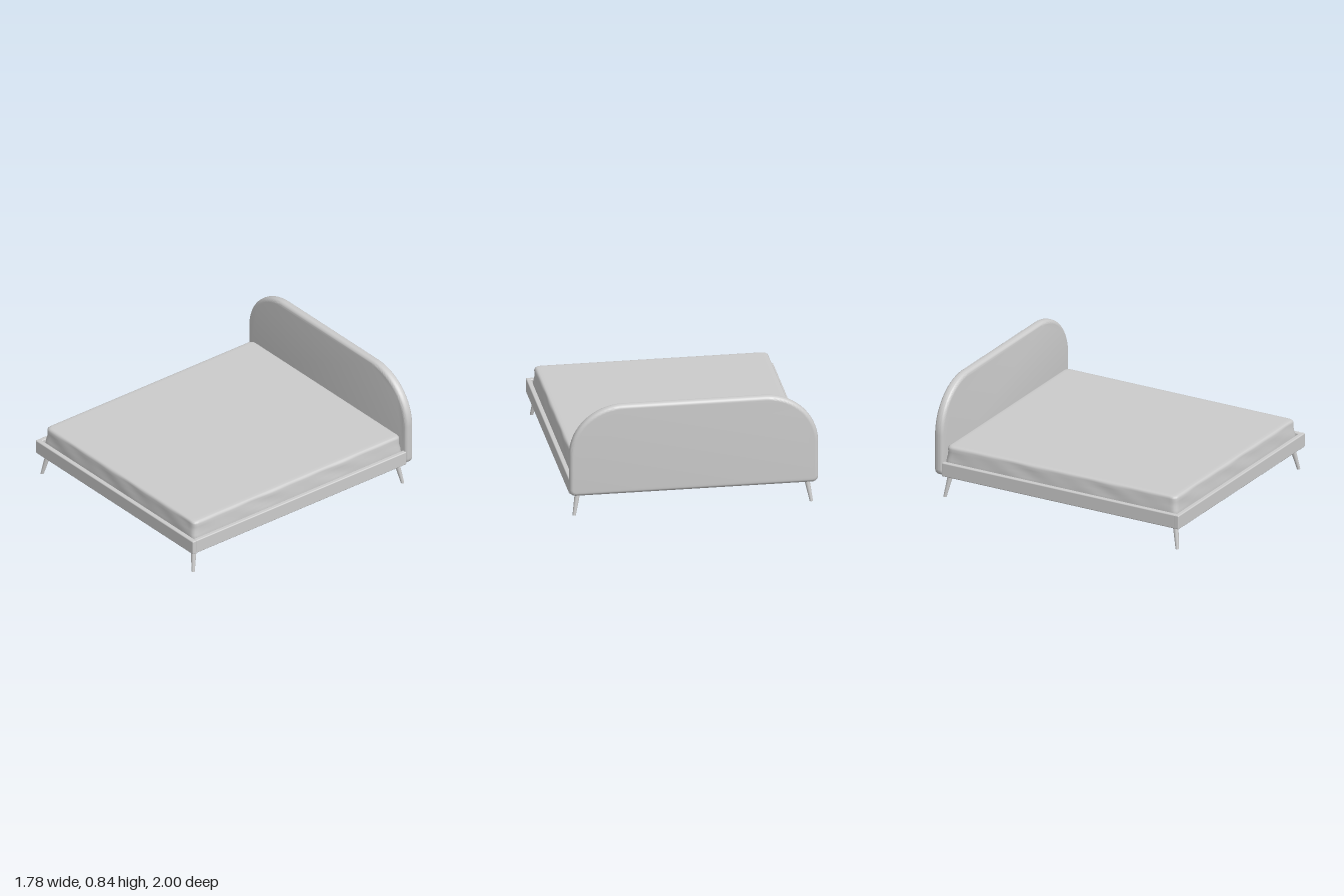
import * as THREE from 'three';
import { toCreasedNormals } from 'three/addons/utils/BufferGeometryUtils.js';
import { RoundedBoxGeometry } from 'three/addons/geometries/RoundedBoxGeometry.js';

const material = new THREE.MeshStandardMaterial({ color: 0xcccccc });

// Box given by its limits on each axis, with softly rounded edges
function block(name, [x0, x1], [y0, y1], [z0, z1], r = 0.006) {
  const geo = new RoundedBoxGeometry(x1 - x0, y1 - y0, z1 - z0, 3, r);
  const mesh = new THREE.Mesh(geo, material);
  mesh.name = name;
  mesh.position.set((x0 + x1) / 2, (y0 + y1) / 2, (z0 + z1) / 2);
  return mesh;
}

// Tapered leg, sheared outwards so both ends stay level
function leg(name, [topX, topZ], [footX, footZ], height) {
  const geo = new THREE.CylinderGeometry(0.021, 0.012, height, 24, 4);
  const pos = geo.attributes.position;
  for (let i = 0; i < pos.count; i++) {
    const t = pos.getY(i) / height + 0.5;
    pos.setX(i, pos.getX(i) + footX + (topX - footX) * t);
    pos.setZ(i, pos.getZ(i) + footZ + (topZ - footZ) * t);
  }
  geo.translate(0, height / 2, 0);
  geo.computeVertexNormals();
  const mesh = new THREE.Mesh(geo, material);
  mesh.name = name;
  return mesh;
}

// Arched headboard with a padded, rounded rim
function headboard() {
  const b = 0.028, w = 0.89 - b, y0 = 0.165 + b, y1 = 0.84 - b;
  const rx = 0.36, ry = 0.34, c = 0.02;
  const s = new THREE.Shape();
  s.moveTo(-w + c, y0);
  s.lineTo(w - c, y0);
  s.quadraticCurveTo(w, y0, w, y0 + c);
  s.lineTo(w, y1 - ry);
  s.absellipse(w - rx, y1 - ry, rx, ry, 0, Math.PI / 2, false);
  s.lineTo(-w + rx, y1);
  s.absellipse(-w + rx, y1 - ry, rx, ry, Math.PI / 2, Math.PI, false);
  s.lineTo(-w, y0 + c);
  s.quadraticCurveTo(-w, y0, -w + c, y0);
  const geo = new THREE.ExtrudeGeometry(s, {
    depth: 0.07 - 2 * b, bevelEnabled: true, bevelSize: b, bevelThickness: b,
    bevelSegments: 6, curveSegments: 28,
  });
  geo.translate(0, 0, -1 + b);
  const mesh = new THREE.Mesh(toCreasedNormals(geo, 0.6), material);
  mesh.name = 'headboard';
  return mesh;
}

// Mattress lofted from rounded rectangles, with faint creases in its sides
function mattress() {
  const hw = 0.842, hd = 0.945, r = 0.035;
  const s = new THREE.Shape();
  s.moveTo(-hw + r, -hd);
  s.lineTo(hw - r, -hd);
  s.absarc(hw - r, -hd + r, r, -Math.PI / 2, 0, false);
  s.lineTo(hw, hd - r);
  s.absarc(hw - r, hd - r, r, 0, Math.PI / 2, false);
  s.lineTo(-hw + r, hd);
  s.absarc(-hw + r, hd - r, r, Math.PI / 2, Math.PI, false);
  s.lineTo(-hw, -hd + r);
  s.absarc(-hw + r, -hd + r, r, Math.PI, Math.PI * 1.5, false);
  const ring = s.getSpacedPoints(400).slice(0, 400), n = ring.length;

  // Height and inset of each ring, from the hidden underside to the top centre
  const profile = [[0.212, 0.8], [0.212, 0], [0.25, -0.002], [0.28, 0], [0.31, 0.003], [0.34, 0.005],
    [0.362, 0.006], [0.373, 0.009], [0.38, 0.016], [0.383, 0.026], [0.384, 0.05], [0.384, 0.3], [0.384, hw]];
  const verts = [], index = [];
  profile.forEach(([y, inset], j) => {
    ring.forEach((p, i) => {
      const side = y > 0.22 && y < 0.37 ? 1 : 0;
      const a = (i / n) * Math.PI * 2;
      const crease = side * 0.003 * Math.sin(a * 17 + y * 45) * Math.sin(a * 5 + 1);
      const kx = 1 - (inset + crease) / hw;
      const kz = inset > 0.1 ? kx : 1 - (inset + crease) / hd;
      verts.push(p.x * kx, y, -p.y * kz + 0.01);
      if (j === profile.length - 1) return;
      const i2 = (i + 1) % n, lo = j * n, hi = lo + n;
      index.push(lo + i, lo + i2, hi + i2, lo + i, hi + i2, hi + i);
    });
  });
  const geo = new THREE.BufferGeometry();
  geo.setAttribute('position', new THREE.Float32BufferAttribute(verts, 3));
  geo.setIndex(index);
  geo.computeVertexNormals();
  const mesh = new THREE.Mesh(geo, material);
  mesh.name = 'mattress';
  return mesh;
}

export function createModel() {
  const bed = new THREE.Group();
  bed.name = 'bed';
  bed.add(headboard(), mattress());

  // Outer frame
  bed.add(block('footRail', [-0.885, 0.885], [0.165, 0.27], [0.964, 1.0], 0.008));
  for (const [side, sx] of [['left', 1], ['right', -1]]) {
    const span = (a, b) => (sx > 0 ? [a, b] : [-b, -a]);
    bed.add(block(side + 'Rail', span(0.85, 0.885), [0.165, 0.27], [-0.94, 0.968], 0.008));
    // Ledge strip inside the rail that carries the base
    bed.add(block(side + 'Ledge', span(0.815, 0.852), [0.178, 0.205], [-0.935, 0.966], 0.003));
    bed.add(leg(side + 'FrontLeg', [0.815 * sx, 0.935], [0.848 * sx, 0.968], 0.172));
    bed.add(leg(side + 'BackLeg', [0.815 * sx, -0.898], [0.848 * sx, -0.932], 0.185));
  }

  // Base panel, cross ledges, middle beam and its support leg
  bed.add(block('basePanel', [-0.85, 0.85], [0.2, 0.215], [-0.935, 0.955], 0.002));
  bed.add(block('frontLedge', [-0.84, 0.84], [0.178, 0.205], [0.925, 0.966], 0.003));
  bed.add(block('backLedge', [-0.84, 0.84], [0.178, 0.205], [-0.94, -0.9], 0.003));
  bed.add(block('middleBeam', [-0.02, 0.02], [0.178, 0.205], [-0.92, 0.945], 0.003));
  bed.add(leg('middleLeg', [0, 0.025], [0, 0.025], 0.185));
  return bed;
}
